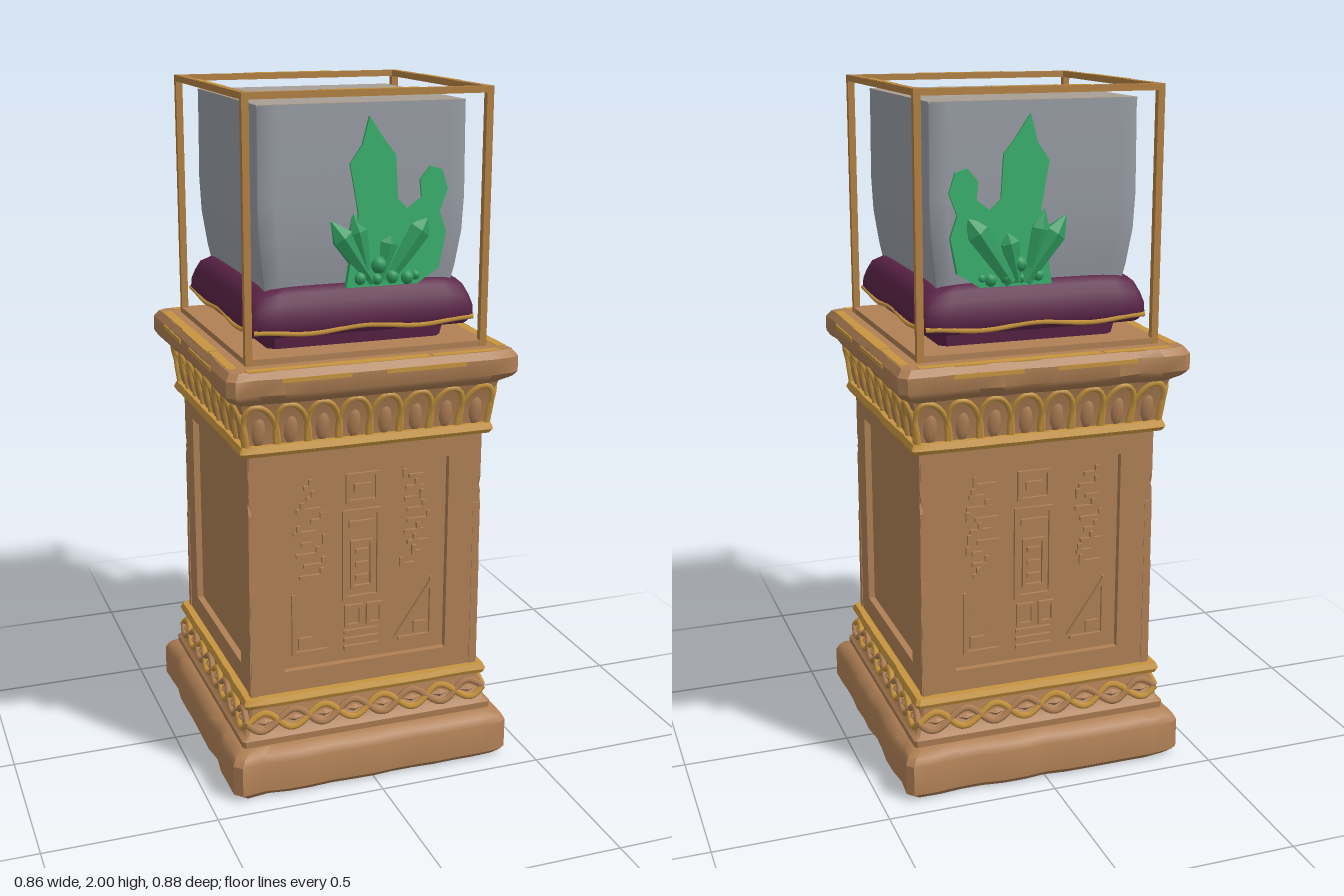
import * as THREE from 'three';
import { toCreasedNormals } from 'three/addons/utils/BufferGeometryUtils.js';

const mat = (name, color) => Object.assign(new THREE.MeshStandardMaterial({ color }), { name });

export function createModel() {
  const model = new THREE.Group();
  model.name = 'displayPedestal';
  const wood = mat('carvedWood', 0xb08055);
  const gold = mat('wornGold', 0xc6943f);
  const brass = mat('frameBrass', 0xb38142);
  const velvet = mat('purpleVelvet', 0x5c2448);
  const glass = mat('glassSide', 0x979ca4);
  const glassTop = mat('glassTop', 0xa89e94);
  const jade = mat('crystalGreen', 0x38b06d);
  const jadeDark = mat('crystalDeepGreen', 0x2f9a5f);

  const add = (name, geo, material, parent = model) => {
    const m = new THREE.Mesh(geo, material);
    m.name = name;
    parent.add(m);
    return m;
  };
  const box = (name, w, h, d, x, y, z, material, parent) => {
    const m = add(name, new THREE.BoxGeometry(w, h, d), material, parent);
    m.position.set(x, y, z);
    return m;
  };
  // Runs a builder once for each of the four sides (0 front, 1 right, 2 back, 3 left)
  const onSides = (name, build, sides = [0, 1, 2, 3]) => sides.forEach((k) => {
    const g = new THREE.Group();
    g.name = name;
    g.rotation.y = k * Math.PI / 2;
    model.add(g);
    build(g, k);
  });
  let seed = 7;
  const rand = () => (seed = (seed * 16807) % 2147483647) / 2147483647;

  // Stacks square rings [half width, y] with cut corners; wear roughens the edges
  function loft(profile, corner, wear = 0, crease = 0.6, n = 12) {
    const pos = [], idx = [], per = 4 * (n + 1);
    const dent = Array.from({ length: per }, () => rand() ** 3 * wear);
    profile.forEach(([h, y]) => {
      const c = Math.max(0, h - corner);
      for (let k = 0; k < 4; k++) for (let j = 0; j <= n; j++) {
        let x = c * (2 * j / n - 1), z = Math.max(0, h - (h ? dent[k * (n + 1) + j] : 0));
        for (let q = 0; q < k; q++) [x, z] = [z, -x];
        pos.push(x, y, z);
      }
    });
    for (let i = 0; i < profile.length - 1; i++) for (let j = 0; j < per; j++) {
      const a = i * per + j, b = i * per + (j + 1) % per;
      idx.push(a, b, b + per, a, b + per, a + per);
    }
    const g = new THREE.BufferGeometry();
    g.setAttribute('position', new THREE.Float32BufferAttribute(pos, 3));
    g.setIndex(idx);
    return toCreasedNormals(g, crease);
  }

  // Worn slabs at the foot and the top
  const foot = loft([[0, 0], [0.41, 0], [0.43, 0.02], [0.43, 0.11], [0.42, 0.13], [0.395, 0.145], [0, 0.145]], 0.022, 0.012);
  add('footSlab', foot, wood).scale.z = 1.023;
  const top = loft([[0, 1.175], [0.39, 1.175], [0.42, 1.195], [0.43, 1.21], [0.43, 1.255], [0.415, 1.275], [0, 1.275]], 0.022, 0.012);
  add('topSlab', top, wood).scale.z = 1.023;

  // Flared mouldings, gold bands and the core of the body
  add('lowerMoulding', loft([[0, 0.14], [0.39, 0.14], [0.392, 0.165], [0.38, 0.175], [0.365, 0.22], [0.36, 0.27], [0, 0.27]], 0.008), wood);
  add('lowerBand', loft([[0, 0.258], [0.378, 0.258], [0.383, 0.27], [0.376, 0.286], [0, 0.286]], 0.01, 0.004), gold);
  add('bodyCore', loft([[0, 0.27], [0.334, 0.27], [0.334, 1.04], [0, 1.04]], 0.002), wood);
  add('upperBand', loft([[0, 1.02], [0.376, 1.02], [0.383, 1.032], [0.376, 1.05], [0, 1.05]], 0.01, 0.004), gold);
  const flare = (y) => 0.358 + 0.032 * Math.pow(Math.max(0, (y - 1.04) / 0.14), 1.6);
  const cornice = [1.04, 1.08, 1.12, 1.15, 1.18].map((y) => [flare(y), y]);
  add('cornice', loft(cornice, 0.008), wood);

  // Border around the sunken panel of each side
  onSides('panelBorder', (g) => {
    const s = new THREE.Shape();
    [[-0.357, 0.275], [0.357, 0.275], [0.356, 0.6], [0.35, 0.72], [0.353, 0.84], [0.345, 0.87], [0.352, 0.9], [0.35, 1.03], [-0.352, 1.03],
      [-0.352, 0.88], [-0.343, 0.85], [-0.355, 0.8]].forEach(([x, y], i) => (i ? s.lineTo(x, y) : s.moveTo(x, y)));
    const hole = new THREE.Path();
    [[-0.254, 0.35], [-0.254, 0.955], [0.252, 0.955], [0.252, 0.35]].forEach(([x, y], i) => (i ? hole.lineTo(x, y) : hole.moveTo(x, y)));
    s.holes.push(hole);
    add('border', new THREE.ExtrudeGeometry(s, { depth: 0.022, bevelEnabled: false }), wood, g).position.z = 0.332;
  });

  // Tube through points made by a rule
  const tube = (name, f, n, r, material, parent) => {
    const pts = Array.from({ length: n + 1 }, (_, i) => f(i / n));
    add(name, new THREE.TubeGeometry(new THREE.CatmullRomCurve3(pts), n * 2, r, 5), material, parent);
  };
  // Overlapping arches on the cornice
  onSides('archFrieze', (g) => {
    for (let i = 0; i < 8; i++) {
      const cx = (i - 3.5) * 0.092;
      tube('arch', (t) => {
        const a = Math.PI * (1 - t), y = 1.05 + 0.118 * Math.pow(Math.sin(a), 0.75), h = flare(y);
        return new THREE.Vector3((cx + 0.05 * Math.cos(a)) * h / 0.365, y, h + 0.002);
      }, 12, 0.009, gold, g);
      const leaf = add('leaf', new THREE.SphereGeometry(1, 8, 6), wood, g);
      leaf.scale.set(0.022, 0.048, 0.012);
      leaf.position.set(cx * 1.01, 1.09, 0.362);
      leaf.rotation.x = 0.15;
    }
  });
  // Braided waves and lozenges on the lower moulding
  onSides('braidFrieze', (g) => {
    for (const s of [-1, 1]) tube('wave', (t) => {
      const y = 0.212 + s * 0.026 * Math.sin(t * Math.PI * 8), h = 0.367 + (0.24 - y) * 0.2;
      return new THREE.Vector3((t * 2 - 1) * h, y, h + 0.002);
    }, 40, 0.01, s > 0 ? gold : wood, g);
    for (let i = 0; i < 8; i++) {
      const d = add('lozenge', new THREE.OctahedronGeometry(1), wood, g);
      d.scale.set(0.026, 0.012, 0.012);
      d.position.set((i - 3.5) * 0.092, 0.212, 0.374);
    }
  });

  // Carved signs in three columns, front and back
  onSides('carvedPanel', (g) => {
    const sign = (w, h, x, y) => box('carvedSign', w, h, 0.014, x, y, 0.336, wood, g);
    const frame = (w, h, x, y, t = 0.01) => {
      for (const s of [-1, 1]) {
        sign(w, t, x, y + s * (h - t) / 2);
        sign(t, h, x + s * (w - t) / 2, y);
      }
    };
    // Centre column
    frame(0.12, 0.28, -0.01, 0.68, 0.014);
    frame(0.07, 0.15, -0.01, 0.65);
    for (let i = 0; i < 3; i++) sign(0.04, 0.014, -0.01, 0.61 + i * 0.04);
    sign(0.08, 0.02, -0.01, 0.775);
    frame(0.1, 0.09, -0.01, 0.885);
    sign(0.05, 0.025, -0.01, 0.885);
    frame(0.055, 0.07, -0.035, 0.49);
    frame(0.05, 0.07, 0.03, 0.49);
    for (let i = 0; i < 3; i++) sign(0.11, 0.012, -0.01, 0.39 + i * 0.025);
    // Side columns of small signs with a triangle below
    for (const x of [-0.165, 0.155]) {
      for (let y = 0.63; y < 0.93; y += 0.034) {
        sign(0.025 + rand() * 0.05, 0.012, x + (rand() - 0.5) * 0.04, y);
        sign(0.012, 0.028, x + (rand() - 0.5) * 0.09, y + 0.01);
      }
      const s = Math.sign(x);
      sign(0.1, 0.01, x, 0.395);
      sign(0.01, 0.19, x + s * 0.055, 0.485);
      sign(0.011, 0.2, x, 0.485).rotation.z = -s * 0.6;
      sign(0.04, 0.035, x + s * 0.02, 0.425);
    }
  }, [0, 2]);

  // Worn gold strips on the upper slab
  onSides('goldWear', (g, k) => {
    const z = k % 2 ? 0.405 : 0.414;
    [[-0.24, 0.26, 0.028], [0.02, 0.28, 0.034], [0.27, 0.2, 0.026]].forEach(([x, w, d]) =>
      box('goldStrip', w, 0.004, d, x, 1.2745, z - 0.008, gold, g));
    [[-0.18, 0.2], [0.14, 0.24]].forEach(([x, w]) =>
      box('goldEdge', w, 0.012, 0.004, x, 1.25, (k % 2 ? 0.43 : 0.44) - 0.001, gold, g));
  });

  // Open frame of the case
  add('caseSill', loft([[0, 1.27], [0.356, 1.27], [0.356, 1.292], [0, 1.292]], 0.003), wood);
  onSides('caseFrame', (g) => {
    box('post', 0.02, 0.73, 0.02, 0.347, 1.635, 0.347, brass, g);
    box('topRail', 0.714, 0.018, 0.022, 0, 1.991, 0.346, brass, g);
    box('railWear', 0.28, 0.003, 0.018, 0, 2.0, 0.346, gold, g);
  });

  // Cushion with piping
  add('cushionFoot', loft([[0, 1.285], [0.26, 1.285], [0.27, 1.34], [0, 1.34]], 0.02), velvet);
  const cushion = loft([[0, 1.325], [0.27, 1.325], [0.32, 1.338], [0.333, 1.36], [0.331, 1.39], [0.322, 1.43], [0.308, 1.456], [0.28, 1.47], [0, 1.475]], 0.02, 0, 1.2);
  const p = cushion.attributes.position;
  for (let i = 0; i < p.count; i++) {
    const far = Math.min(Math.abs(p.getX(i)), Math.abs(p.getZ(i))) / 0.33;
    if (p.getY(i) > 1.4) p.setY(i, p.getY(i) - 0.022 * far ** 6);
  }
  add('cushion', cushion, velvet);
  onSides('cushionPiping', (g) => tube('piping', (t) =>
    new THREE.Vector3((t * 2 - 1) * 0.325, 1.352 + 0.006 * Math.cos(t * Math.PI * 4), 0.33), 16, 0.007, gold, g));

  // Glass block, tucked in towards the cushion
  add('glassBlock', loft([[0.27, 1.42], [0.285, 1.5], [0.298, 1.6], [0.302, 1.7], [0.3, 1.96]], 0.003, 0, 1), glass);
  box('glassLid', 0.6, 0.006, 0.6, 0, 1.959, 0, glassTop);

  // Crystal cluster in relief on the front and back of the glass
  const outline = [[-0.05, 1.46], [-0.03, 1.58], [-0.015, 1.66], [-0.04, 1.8], [-0.005, 1.85], [0.015, 1.925], [0.06, 1.86], [0.092, 1.82],
    [0.1, 1.7], [0.13, 1.67], [0.17, 1.7], [0.165, 1.75], [0.195, 1.785], [0.23, 1.775], [0.248, 1.72], [0.225, 1.66], [0.245, 1.6], [0.225, 1.5], [0.16, 1.46]];
  const shape = new THREE.Shape(outline.map(([x, y]) => new THREE.Vector2(x, y)));
  const shard = (parent, x, y, tipX, tipY, r) => {
    const len = Math.hypot(tipX - x, tipY - y);
    const geo = new THREE.LatheGeometry([[0, 0], [r * 0.6, 0], [r, len * 0.72], [0, len]].map((q) => new THREE.Vector2(...q)), 6).toNonIndexed();
    geo.computeVertexNormals();
    const m = add('shard', geo, jadeDark, parent);
    m.position.set(x, y, 0.298);
    m.rotation.z = -Math.atan2(tipX - x, tipY - y);
    m.scale.z = 0.75;
  };
  for (const side of [1, -1]) {
    const g = new THREE.Group();
    g.name = side > 0 ? 'frontCrystals' : 'backCrystals';
    // Parts sit at z 0.3 in the group, which is shifted for the back
    g.position.z = side > 0 ? 0 : -0.6;
    model.add(g);
    add('crystalSpire', new THREE.ExtrudeGeometry(shape, { depth: 0.018, bevelEnabled: false }), jade, g).position.z = 0.291;
    shard(g, 0.03, 1.47, -0.095, 1.65, 0.034);
    shard(g, 0.02, 1.47, -0.03, 1.67, 0.03);
    shard(g, 0.07, 1.47, 0.205, 1.665, 0.036);
    shard(g, 0.05, 1.47, 0.085, 1.62, 0.03);
    [[0.045, 1.52, 0.026], [-0.01, 1.485, 0.02], [0.04, 1.48, 0.018], [0.085, 1.485, 0.022], [0.13, 1.48, 0.022], [0.155, 1.485, 0.016]].forEach(([x, y, r]) =>
      add('pebble', new THREE.SphereGeometry(r, 8, 6), jadeDark, g).position.set(x, y, 0.302));
  }
  return model;
}
